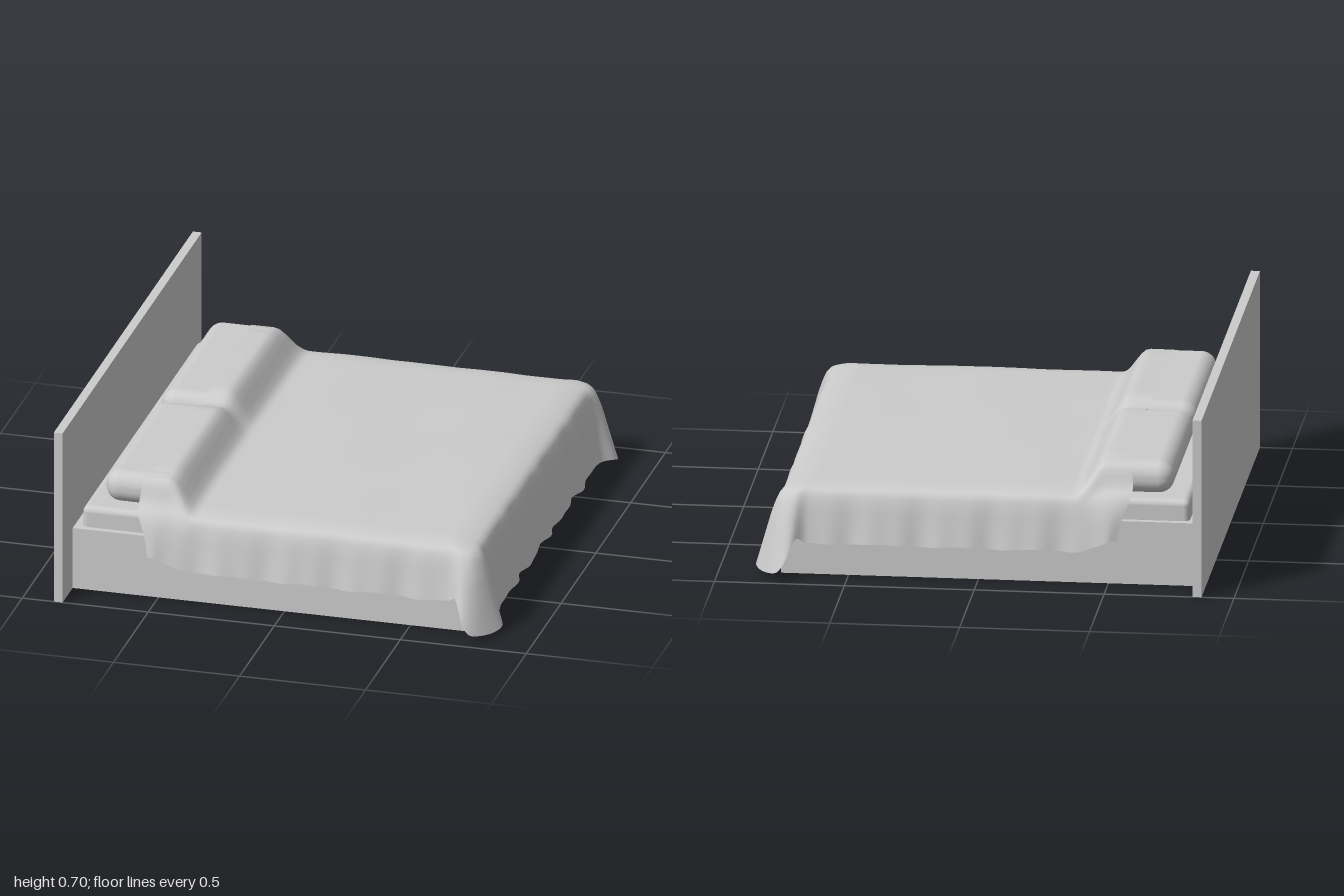
import * as THREE from 'three';
import { RoundedBoxGeometry } from 'three/addons/geometries/RoundedBoxGeometry.js';

const { smoothstep, lerp } = THREE.MathUtils;
const gauss = (v, w) => Math.exp(-((v / w) ** 2));

// Cross-sections of the hanging cloth: x = share of the overhang, y = share of the drop
const curve = (pts) => new THREE.CatmullRomCurve3(pts.map(([x, y]) => new THREE.Vector3(x, y, 0)));
const mattressDrape = curve([[0, 0], [0.4, 0.03], [0.7, 0.1], [0.82, 0.3], [0.9, 0.6], [1, 1]]);
const pillowDrape = curve([[0, 0], [0.2, 0.07], [0.4, 0.3], [0.68, 0.43], [0.85, 0.62], [1, 1]]);

const HEAD = -0.56, FOOT = 0.65, SIDE = 0.75; // limits of the flat top of the blanket
const HANG = 14; // rows in each hanging part

// Blanket point: x, z on the flat top; f, g = how far it hangs over foot and side (0..1)
function blanketPoint(x, z, f, g) {
  const sign = Math.sign(z) || 1;
  const pillow = 1 - smoothstep(x, -0.48, -0.365);
  let top = 0.346 + 0.012 * Math.cos(x * 1.7) * Math.cos(z * 1.6)
    + 0.002 * Math.sin(x * 9 + z * 4) * Math.sin(z * 7 - x * 3);
  top += pillow * (0.116 - 0.03 * gauss(z, 0.06) - 0.008 * smoothstep(Math.abs(z), 0.66, 0.75));

  const r = Math.max(f, g);
  if (r === 0) {
    const edge = smoothstep(-x, 0.5, 0.56) * smoothstep(Math.abs(z), 0.62, 0.75);
    return [x - 0.015 * edge, top, z];
  }

  // Direction round the corner: 0 = foot, PI/2 = side
  const a = Math.atan2(g, f);
  const c = Math.cos(a), s = Math.sin(a);
  const n = (c ** 7 + s ** 7) ** (1 / 7);
  const p = mattressDrape.getPoint(r).lerp(pillowDrape.getPoint(r), pillow);
  const toSide = smoothstep(a, 0.9, 1.35);

  let hem = lerp(0.035, 0.13, toSide) + 0.045 * smoothstep(-x, 0.35, 0.56);
  hem += 0.004 * Math.sin(x * 21 + z * 17) + 0.03 * gauss(a - 1.25, 0.15) - 0.02 * gauss(a - 0.7, 0.25);

  // Soft folds toward the hem and two flared lobes at each foot corner
  const fold = r * r * 0.007 * (Math.sin(x * 23 + z * 26) + 0.6 * Math.sin(x * 47 - z * 41 + 1));
  const lobeX = 0.055 * r * r * gauss(a - 0.5, 0.3);
  const lobeZ = 0.085 * r * r * gauss(a - 1.0, 0.28);
  const headEdge = smoothstep(-x, 0.48, 0.56) * (0.03 * Math.sin(Math.PI * Math.min(1, r * 1.1)) - 0.025 * r ** 4);

  return [
    x + (0.15 * p.x * c) / n + fold * c + lobeX - headEdge,
    top - (top - hem) * p.y,
    z + sign * ((0.135 * p.x * s) / n + fold * s + lobeZ),
  ];
}

function blanketGeometry() {
  // Columns along the bed and rows across it, each with its hanging share
  const cols = [], rows = [];
  for (let i = 0; i <= 64; i++) cols.push([lerp(HEAD, FOOT, i / 64), 0]);
  for (let i = 1; i <= HANG; i++) cols.push([FOOT, i / HANG]);
  for (let i = HANG; i >= 1; i--) rows.push([-SIDE, i / HANG]);
  for (let i = 0; i <= 72; i++) rows.push([lerp(-SIDE, SIDE, i / 72), 0]);
  for (let i = 1; i <= HANG; i++) rows.push([SIDE, i / HANG]);

  const pos = [], index = [];
  rows.forEach(([z, g], j) => cols.forEach(([x, f], i) => {
    pos.push(...blanketPoint(x, z, f, g));
    if (i && j) {
      const d = j * cols.length + i, b = d - cols.length;
      index.push(b - 1, d - 1, b, b, d - 1, d);
    }
  }));
  const geo = new THREE.BufferGeometry();
  geo.setAttribute('position', new THREE.Float32BufferAttribute(pos, 3));
  geo.setIndex(index);
  geo.computeVertexNormals();
  return geo;
}

export function createModel() {
  const group = new THREE.Group();
  const grey = new THREE.MeshStandardMaterial({ color: 0xcccccc });
  const cloth = new THREE.MeshStandardMaterial({ color: 0xcccccc, side: THREE.DoubleSide });

  const add = (name, geo, x = 0, y = 0, z = 0, mat = grey) => {
    const mesh = new THREE.Mesh(geo, mat);
    mesh.name = name;
    mesh.position.set(x, y, z);
    group.add(mesh);
  };

  // Wooden frame
  add('headboard', new THREE.BoxGeometry(0.035, 0.705, 2), -0.8575, 0.3525, 0);
  add('bedBase', new THREE.BoxGeometry(1.6, 0.25, 1.71), -0.04, 0.125, 0);

  // Bedding
  add('mattress', new RoundedBoxGeometry(1.545, 0.15, 1.66, 4, 0.025), -0.0375, 0.258, 0);
  for (const side of [-1, 1]) {
    add(side > 0 ? 'frontPillow' : 'backPillow',
      new RoundedBoxGeometry(0.3, 0.128, 0.76, 8, 0.06), -0.59, 0.396, side * 0.4);
  }
  add('blanket', blanketGeometry(), 0, 0, 0, cloth);

  return group;
}
